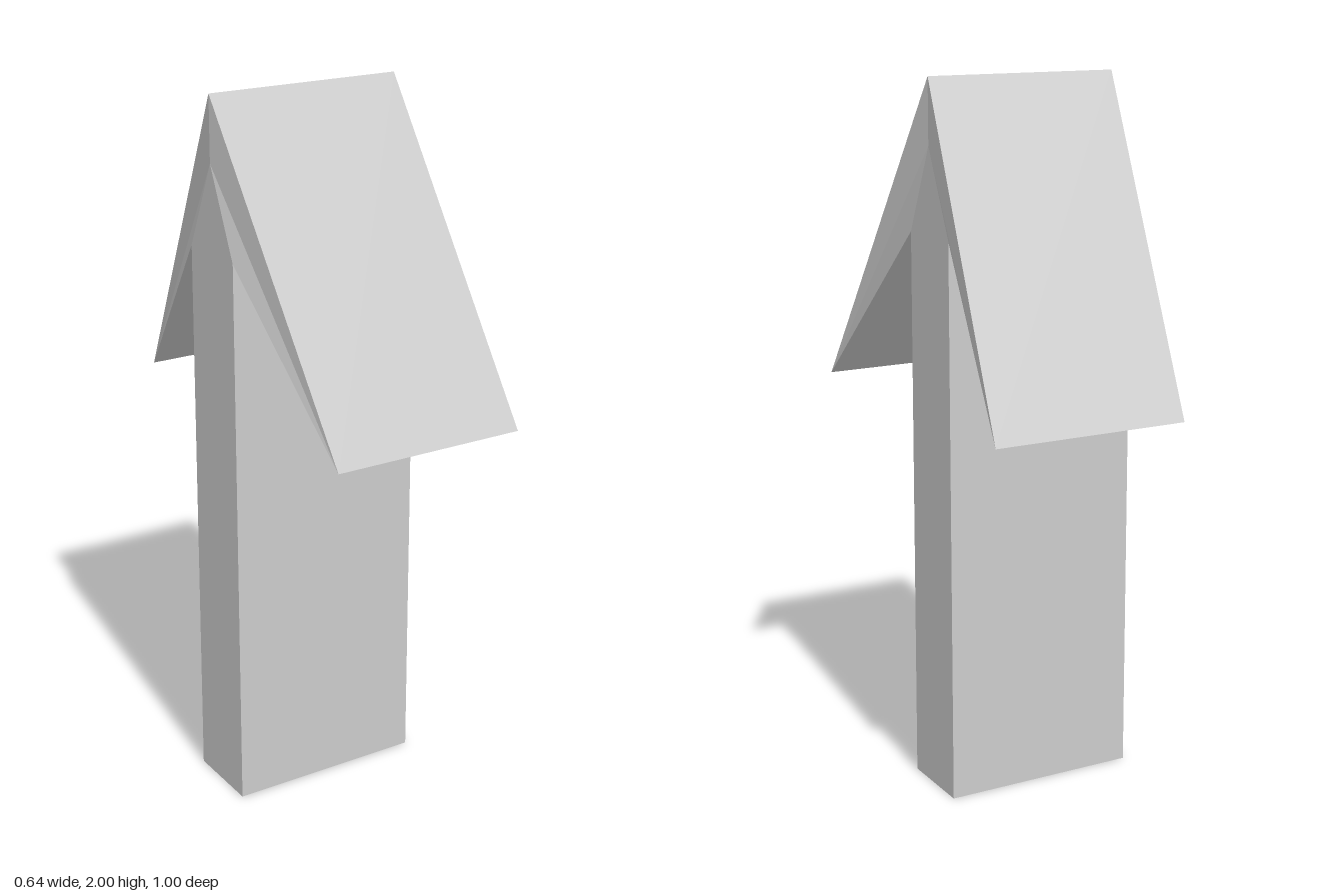
import * as THREE from 'three';

// Arrow cross-section, counter-clockwise seen from +x: [z, y, sideways shift]
const PROFILE = [
  [0, 2, 0],            // ridge
  [0.5, 1.12, 0.074],   // front eave
  [0.11, 1.58, 0],      // front joint of roof and post
  [0.115, 0, 0],        // front foot
  [-0.115, 0, 0],       // back foot
  [-0.11, 1.58, 0],     // back joint
  [-0.5, 1.12, 0.074],  // back eave
];
const HUB = [0, 1.82, 0]; // point under the ridge where the end facets meet
const X_LEFT = 0.245;
const X_RIGHT = -0.32;

function arrowGeometry() {
  const positions = [];
  const at = ([z, y, shift], x) => [x + shift, y, z];
  const tri = (a, b, c) => positions.push(...a, ...b, ...c);

  PROFILE.forEach((p, i) => {
    const q = PROFILE[(i + 1) % PROFILE.length];
    const pl = at(p, X_LEFT), pr = at(p, X_RIGHT);
    const ql = at(q, X_LEFT), qr = at(q, X_RIGHT);
    // long face between the two ends
    tri(pl, pr, qr);
    tri(pl, qr, ql);
    // end facets
    tri(at(HUB, X_LEFT), pl, ql);
    tri(at(HUB, X_RIGHT), qr, pr);
  });

  const geometry = new THREE.BufferGeometry();
  geometry.setAttribute('position', new THREE.Float32BufferAttribute(positions, 3));
  geometry.computeVertexNormals();
  return geometry;
}

export function createModel() {
  const group = new THREE.Group();
  group.name = 'arrow';
  const material = new THREE.MeshStandardMaterial({ color: 0xcccccc, flatShading: true });
  const body = new THREE.Mesh(arrowGeometry(), material);
  body.name = 'arrowBody';
  group.add(body);
  return group;
}
